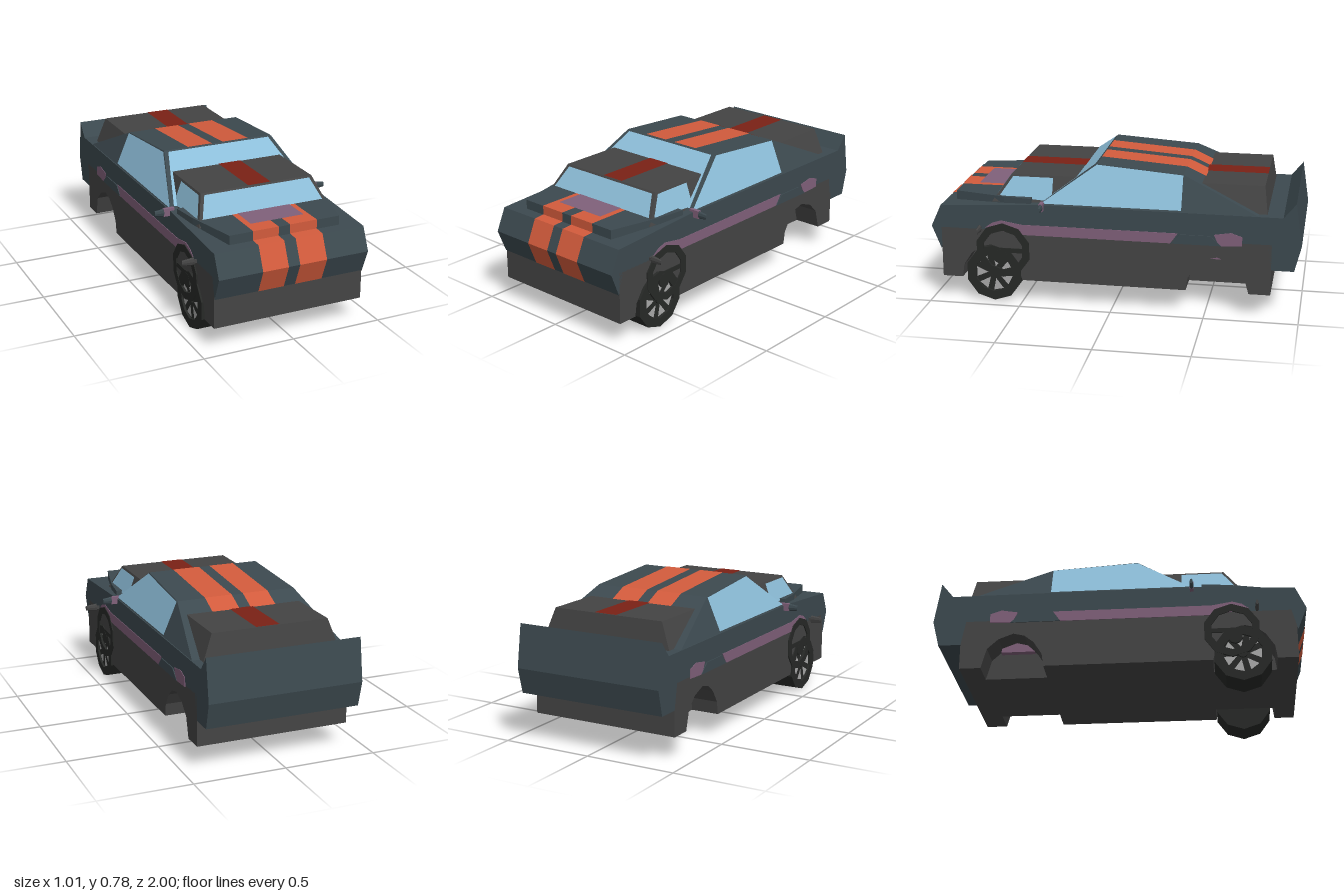
import * as THREE from 'three';

const mat = (color, thin) => new THREE.MeshStandardMaterial({
  color, flatShading: true, side: thin ? THREE.DoubleSide : THREE.FrontSide });
const PAINT = 0x3c494f, GREY = 0x444444, DARK = 0x272927, GLASS = 0x8cbdd8,
  ORANGE = 0xd25b3c, RED = 0x7a2115, MAUVE = 0x80607a, RIM = 0xaaaaaa;

export function createModel() {
  const model = new THREE.Group();
  const add = (name, geo, color, parent = model, thin = false) => {
    const m = new THREE.Mesh(geo, mat(color, thin));
    m.name = name;
    parent.add(m);
    return m;
  };

  // Side profile of [z, y] points pulled across from x0 to x1; half(y) optionally tapers the width
  const slab = (pts, x0, x1, half, hole) => {
    const shape = new THREE.Shape(pts.map(p => new THREE.Vector2(p[0], p[1])));
    if (hole) shape.holes.push(new THREE.Path(hole.map(p => new THREE.Vector2(p[0], p[1]))));
    const g = new THREE.ExtrudeGeometry(shape, { depth: x1 - x0, bevelEnabled: false });
    g.translate(0, 0, -x1).rotateY(-Math.PI / 2);
    if (half) {
      const p = g.attributes.position;
      for (let i = 0; i < p.count; i++) p.setX(i, Math.sign(p.getX(i)) * half(p.getY(i)));
    }
    g.computeVertexNormals();
    return g;
  };

  // Flat convex panel from 3D corners
  const panel = (name, corners, color, parent) => {
    const pos = [];
    for (let i = 1; i < corners.length - 1; i++) pos.push(...corners[0], ...corners[i], ...corners[i + 1]);
    const g = new THREE.BufferGeometry();
    g.setAttribute('position', new THREE.Float32BufferAttribute(pos, 3));
    g.computeVertexNormals();
    return add(name, g, color, parent, true);
  };

  // Strip of panels following a [z, y] path between two x values
  const strip = (name, path, xa, xb, color) => {
    for (let i = 0; i < path.length - 1; i++) {
      const [z0, y0] = path[i], [z1, y1] = path[i + 1];
      panel(name, [[xa, y0, z0], [xb, y0, z0], [xb, y1, z1], [xa, y1, z1]], color);
    }
  };

  const ringPts = (r, cz, cy, n = 10) => Array.from({ length: n }, (_, i) => {
    const a = (i + 0.5) / n * Math.PI * 2;
    return [cz + r * Math.cos(a), cy + r * Math.sin(a)];
  });

  // Painted upper body with pointed nose and upswept tail
  add('upperBody', slab([[1, 0.405], [0.945, 0.525], [0.4, 0.553], [-0.9, 0.55], [-0.965, 0.63],
    [-1, 0.4], [-0.965, 0.26], [-0.845, 0.26], [-0.82, 0.395], [0.92, 0.395], [0.95, 0.28]],
  -0.42, 0.42), PAINT);

  // Lower body: solid core, plus outer slabs notched for the wheels
  add('lowerBodyCore', slab([[0.945, 0.12], [0.945, 0.4], [-0.845, 0.4], [-0.845, 0.12]], -0.265, 0.265), GREY);
  const arch = [[-0.395, 0.12], [-0.405, 0.19], [-0.45, 0.26], [-0.5, 0.3], [-0.56, 0.315],
    [-0.64, 0.285], [-0.7, 0.23], [-0.73, 0.12]];
  const frontArch = arch.map(([z, y]) => [z + 1.23, y]);
  const lowerSide = [[0.945, 0.4], [0.945, 0.12], ...frontArch, ...arch, [-0.845, 0.12], [-0.845, 0.4]];

  // Main cabin
  const cabinHalf = y => 0.415 - (y - 0.55) * 0.432;
  add('cabin', slab([[0.4, 0.55], [0.1, 0.77], [-0.365, 0.735], [-0.77, 0.55]], -1, 1, cabinHalf), PAINT);
  panel('windshield', [[-0.3, 0.765, 0.111], [0.3, 0.765, 0.111], [0.388, 0.565, 0.384], [-0.388, 0.565, 0.384]], GLASS);

  // Lower, longer inner cabin showing ahead of and behind the main one
  const innerHalf = y => 0.32 + (0.69 - y) * 0.37;
  add('innerCabin', slab([[0.67, 0.545], [0.57, 0.69], [-0.795, 0.69], [-0.815, 0.545]], -1, 1, innerHalf), GREY);
  panel('frontWindow', [[-0.303, 0.682, 0.578], [0.303, 0.682, 0.578], [0.345, 0.58, 0.649], [-0.345, 0.58, 0.649]], GLASS);
  strip('frontRoofStripe', [[0.57, 0.692], [0.19, 0.692]], -0.05, 0.08, RED);
  strip('rearRoofStripe', [[-0.46, 0.692], [-0.795, 0.692]], -0.05, 0.08, RED);

  // Raised hood plate
  const hood = new THREE.Shape([[-0.4, 0.45], [0.4, 0.45], [0.38, 0.6], [0.31, 0.885], [-0.31, 0.885], [-0.38, 0.6]]
    .map(p => new THREE.Vector2(...p)));
  add('hoodPlate', new THREE.ExtrudeGeometry(hood, { depth: 0.055, bevelEnabled: false })
    .rotateX(Math.PI / 2).translate(0, 0.578, 0), PAINT);
  panel('hoodInset', [[-0.15, 0.582, 0.62], [0.15, 0.582, 0.62], [0.15, 0.582, 0.8], [-0.15, 0.582, 0.8]], MAUVE);

  // Twin racing stripes over nose, hood and roof
  for (const [a, b] of [[-0.18, -0.037], [0.027, 0.18]]) {
    strip('noseStripe', [[0.952, 0.28], [1.0015, 0.405], [0.947, 0.527], [0.887, 0.531], [0.887, 0.58], [0.6, 0.58]], a, b, ORANGE);
    strip('roofStripe', [[0.1, 0.772], [-0.365, 0.7375], [-0.475, 0.6875]], a, b, ORANGE);
  }

  // Everything that repeats on both flanks
  for (const s of [1, -1]) {
    const side = new THREE.Group();
    side.name = s > 0 ? 'leftSide' : 'rightSide';
    side.scale.x = s;
    model.add(side);

    add('lowerBodySide', slab(lowerSide, 0.265, 0.42), GREY, side);
    panel('sideWindow', [[0.39, 0.56], [0.1, 0.765], [-0.365, 0.732], [-0.365, 0.56]]
      .map(([z, y]) => [cabinHalf(y) + 0.003, y, z]), GLASS, side);
    panel('frontSideWindow', [[0.34, 0.68], [0.56, 0.68], [0.628, 0.58], [0.34, 0.56]]
      .map(([z, y]) => [innerHalf(y) + 0.003, y, z]), GLASS, side);

    // Flank trim, broken by the rear wheel flare
    add('flankTrim', slab([[0.7, 0.41], [0.66, 0.44], [0.61, 0.455], [0.5, 0.437], [-0.35, 0.437],
      [-0.31, 0.38], [0.5, 0.38]], 0.41, 0.423), MAUVE, side);
    add('rearFlare', slab([[-0.31, 0.38], [-0.36, 0.432], [-0.52, 0.432], [-0.58, 0.38]], 0.41, 0.425), PAINT, side);
    add('rearTrim', slab([[-0.56, 0.4], [-0.54, 0.44], [-0.63, 0.455], [-0.69, 0.435], [-0.69, 0.385],
      [-0.58, 0.38]], 0.41, 0.423), MAUVE, side);
    add('archLining', slab([[-0.46, 0.262], [-0.5, 0.3], [-0.56, 0.315], [-0.64, 0.285], [-0.645, 0.262]],
      0.265, 0.3), MAUVE, side);

    // Front wheel: ten-sided tyre, hub and pale gaps between the spokes
    const wheel = new THREE.Group();
    wheel.name = 'frontWheel';
    wheel.position.set(0, 0.154, 0.656);
    side.add(wheel);
    add('tyre', slab(ringPts(0.157, 0, 0), 0.265, 0.425, null, ringPts(0.108, 0, 0).reverse()), DARK, wheel);
    add('wheelDisc', slab(ringPts(0.112, 0, 0), 0.28, 0.413), DARK, wheel);
    for (let i = 0; i < 7; i++) {
      const a = i / 7 * Math.PI * 2;
      const at = (r, d) => [0.415, r * Math.sin(a + d), r * Math.cos(a + d)];
      panel('spokeGap', [at(0.035, 0), at(0.102, -0.28), at(0.102, 0.28)], RIM, wheel);
    }
    add('hub', slab(ringPts(0.025, 0, 0), 0.4, 0.424), DARK, wheel);

    // Flat ring lying on the flank above the wheel
    add('flankRing', slab(ringPts(0.153, 0.603, 0.287), 0.41, 0.427, null,
      ringPts(0.112, 0.603, 0.287).reverse()), DARK, side);
    add('ringHub', slab(ringPts(0.04, 0.62, 0.25), 0.41, 0.426), DARK, side);
    add('ringSpoke', new THREE.BoxGeometry(0.014, 0.025, 0.22).translate(0.418, 0.287, 0.603), DARK, side);

    // Door mirror and lower front mirror
    const taperedPod = (w, h, d) => {
      const g = new THREE.CylinderGeometry(0.65, 1, w, 8, 1).rotateZ(-Math.PI / 2);
      return g.scale(1, h / 2, d / 2);
    };
    const dz = s > 0 ? -0.007 : 0.007;
    add('mirrorStem', new THREE.BoxGeometry(0.06, 0.042, 0.02).translate(0.425, 0.546, 0.39 + dz), MAUVE, side);
    add('doorMirror', taperedPod(0.05, 0.044, 0.024).translate(0.478, 0.546, 0.39 + dz), PAINT, side);
    add('lowerMirrorStem', new THREE.BoxGeometry(0.05, 0.018, 0.01).translate(0.43, 0.405, 0.733 + dz), GREY, side);
    add('lowerMirror', taperedPod(0.065, 0.044, 0.022).translate(0.47, 0.407, 0.733 + dz), GREY, side);
  }
  return model;
}
